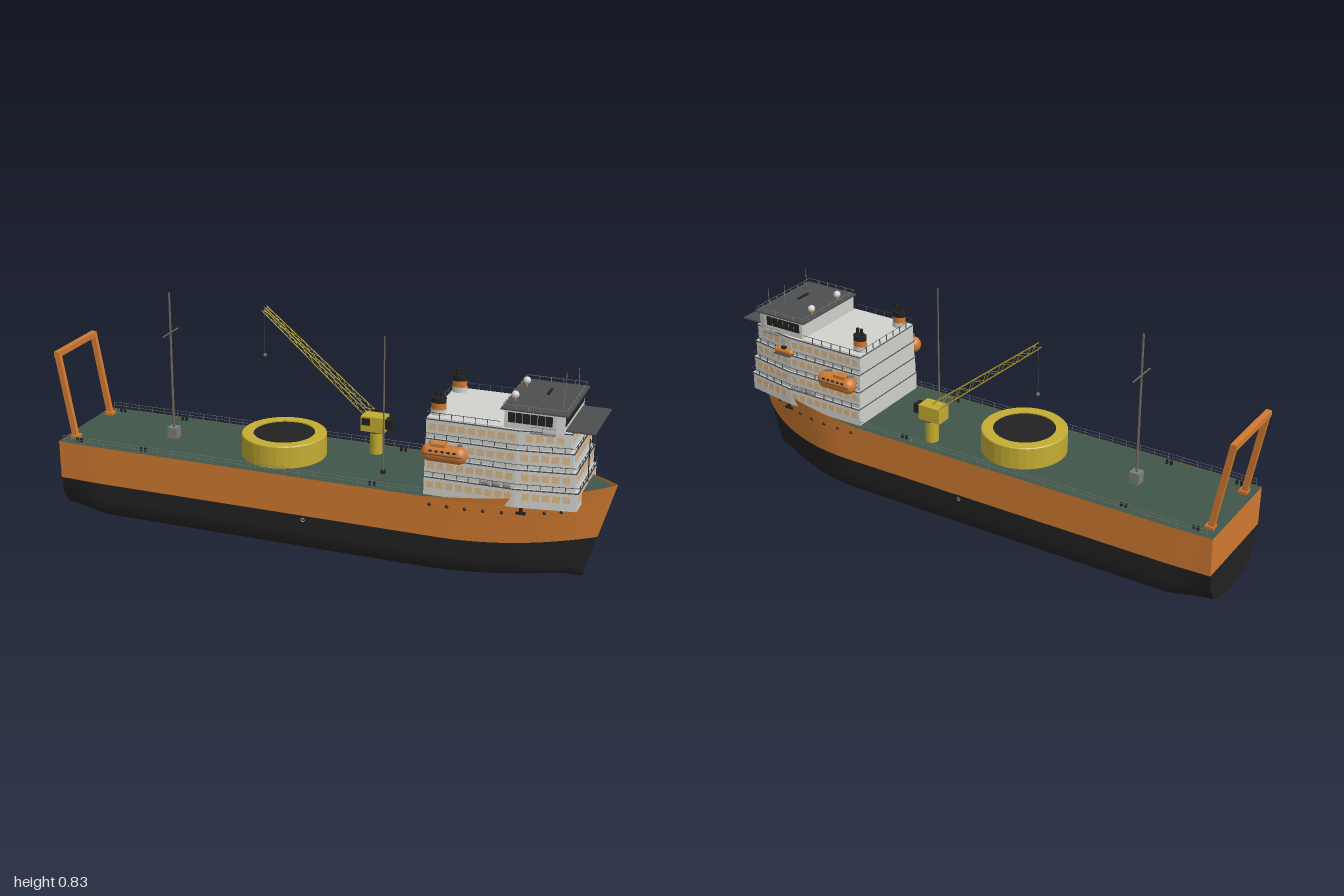
import * as THREE from 'three';

const mat = (name, color, side = THREE.FrontSide) => {
  const m = new THREE.MeshStandardMaterial({ color, side });
  m.name = name;
  return m;
};

export function createModel() {
  const D = THREE.DoubleSide;
  const orange = mat('orange', 0xd07a30, D), black = mat('black', 0x222222, D), green = mat('deckGreen', 0x40554a, D);
  const white = mat('white', 0xd2d2ce), tan = mat('windowTan', 0xdcb98c), yellow = mat('yellow', 0xc4ac32);
  const grey = mat('grey', 0x7c7e7e), dark = mat('darkGrey', 0x4c4e50), steel = mat('mastBrown', 0x6e6858);
  const ship = new THREE.Group();
  ship.name = 'ship';

  // ---- helpers
  const add = (name, geo, m, x = 0, y = 0, z = 0, parent = ship) => {
    const mesh = new THREE.Mesh(geo, m);
    mesh.name = name;
    mesh.position.set(x, y, z);
    parent.add(mesh);
    return mesh;
  };
  const box = (name, m, w, h, d, x, y, z, p) => add(name, new THREE.BoxGeometry(w, h, d), m, x, y, z, p);
  const cyl = (name, m, r, h, x, y, z, n = 16, r2 = r) => add(name, new THREE.CylinderGeometry(r2, r, h, n), m, x, y + h / 2, z);
  const rod = (name, m, a, b, r, n = 6) => {
    const A = new THREE.Vector3(...a), B = new THREE.Vector3(...b), d = B.clone().sub(A);
    const mesh = add(name, new THREE.CylinderGeometry(r, r, d.length(), n), m);
    mesh.position.copy(A).add(B).multiplyScalar(0.5);
    mesh.quaternion.setFromUnitVectors(new THREE.Vector3(0, 1, 0), d.normalize());
    return mesh;
  };
  // surface through rows of points
  const surface = (name, rows, m) => {
    const n = rows[0].length, idx = [];
    for (let i = 0; i < rows.length - 1; i++)
      for (let j = 0; j < n - 1; j++) {
        const a = i * n + j, b = a + n;
        idx.push(a, b, a + 1, b, b + 1, a + 1);
      }
    const g = new THREE.BufferGeometry();
    g.setAttribute('position', new THREE.Float32BufferAttribute(rows.flat(2), 3));
    g.setIndex(idx);
    g.computeVertexNormals();
    return add(name, g, m);
  };

  // ---- hull: half-beam by height, narrowing to a raked stem
  const ys = [0, 0.02, 0.04, 0.09, 0.15, 0.22, 0.29, 0.345];
  const beam = [0, 0.16, 0.188, 0.191, 0.192, 0.193, 0.194, 0.197];
  const stern = [0, 0.1, 0.145, 0.175, 0.186, 0.188, 0.189, 0.19];
  const lerpTable = (tab, y) => {
    let i = 0;
    while (i < ys.length - 2 && y > ys[i + 1]) i++;
    return THREE.MathUtils.lerp(tab[i], tab[i + 1], (y - ys[i]) / (ys[i + 1] - ys[i]));
  };
  const stem = y => 0.9 + 0.29 * y;
  const half = (x, y) => {
    const s = THREE.MathUtils.clamp((x - stem(y) + 0.5) / 0.5, 0, 1);
    const k = THREE.MathUtils.smoothstep(x, -0.97, -0.8);
    return THREE.MathUtils.lerp(lerpTable(stern, y), lerpTable(beam, y), k) * (1 - s ** (1.8 + 2 * y));
  };
  const N = 60;
  const at = (t, y, side) => {
    const x = -0.97 + t * (stem(y) + 0.97);
    return [x, y, side * half(x, y)];
  };
  const band = (name, levels, m) => {
    for (const side of [1, -1])
      surface(name, levels.map(y => Array.from({ length: N + 1 }, (_, i) => at(i / N, y, side))), m);
    surface(name + 'Transom', levels.map(y => [at(0, y, -1), at(0, y, 1)]), m);
  };
  band('lowerHull', ys.slice(0, 5), black);
  band('upperHull', ys.slice(4, 7), orange);
  const deckRows = (x0, x1, y, n) => Array.from({ length: n + 1 }, (_, i) => {
    const x = x0 + (x1 - x0) * i / n;
    return [[x, y, -half(x, y)], [x, y, half(x, y)]];
  });
  surface('mainDeck', deckRows(-0.97, stem(0.289), 0.289, N), green);
  surface('bowDeck', deckRows(0.9, stem(0.333), 0.333, 12), green);
  // raised bulwarks amidships and at the bow
  const bulwark = (x0, x1, h0, h1) => {
    for (const side of [1, -1])
      surface('bulwark', [0, 1].map(r => Array.from({ length: 17 }, (_, i) => {
        const f = i / 16, y = r ? h0 + (h1 - h0) * f : 0.29;
        const x = x0 + (Math.min(x1, stem(y)) - x0) * f;
        return [x, y, side * half(x, y)];
      })), orange);
  };
  bulwark(0.4, 0.7, 0.291, 0.322);
  bulwark(0.895, 1, 0.336, 0.345);
  surface('bowBulkhead', [0.29, 0.336].map(y => [[0.895, y, -half(0.895, y)], [0.895, y, half(0.895, y)]]), orange);

  // ---- hull details on both sides
  for (const s of [1, -1]) {
    for (const x of [0.42, 0.48, 0.54, 0.6, 0.66, 0.79, 0.84])
      add('porthole', new THREE.SphereGeometry(0.006, 8, 6), black, x, 0.265, s * half(x, 0.265));
    const az = s * (half(0.72, 0.27) + 0.004);
    box('anchorShank', black, 0.01, 0.03, 0.008, 0.72, 0.278, az);
    box('anchorFlukes', black, 0.032, 0.009, 0.008, 0.72, 0.267, az);
    add('loadMark', new THREE.TorusGeometry(0.006, 0.0012, 6, 16), white, -0.03, 0.135, s * 0.193);
    for (const x of [-0.9, -0.645, 0.21])
      for (const dx of [-0.008, 0.008]) cyl('bollard', black, 0.005, 0.014, x + dx, 0.289, s * 0.165, 8);
    // deck rail
    for (let x = -0.95; x < 0.39; x += 0.0532) rod('railPost', grey, [x, 0.289, s * 0.187], [x, 0.315, s * 0.187], 0.001, 4);
    for (const y of [0.303, 0.315]) rod('deckRail', grey, [-0.95, y, s * 0.187], [0.39, y, s * 0.187], 0.0008, 4);
  }

  // ---- accommodation block
  const block = (name, plan, y, h, m) => {
    const g = new THREE.ExtrudeGeometry(new THREE.Shape(plan.map(p => new THREE.Vector2(p[0], -p[1]))), { depth: h, bevelEnabled: false });
    return add(name, g.rotateX(-Math.PI / 2), m, 0, y, 0);
  };
  const plan = (x0, xm, xf, w, wf) => [[x0, w], [xm, w], [xf, wf], [xf, -wf], [xm, -w], [x0, -w]];
  // evenly spaced plates along one wall
  const plates = (name, m, a, b, y, w, h, pitch) => {
    const dx = b[0] - a[0], dz = b[1] - a[1], L = Math.hypot(dx, dz), n = Math.floor((L - 0.008) / pitch);
    for (let i = 0; i < n; i++) {
      const f = 0.5 + (i - (n - 1) / 2) * pitch / L;
      box(name, m, w, h, 0.003, a[0] + dx * f, y, a[1] + dz * f).rotation.y = -Math.atan2(dz, dx);
    }
  };
  const railing = (pts, y, h, m = dark) => {
    for (let i = 0; i < pts.length - 1; i++) {
      const [a, b] = [pts[i], pts[i + 1]];
      rod('rail', m, [a[0], y + h, a[1]], [b[0], y + h, b[1]], 0.001, 4);
      plates('railPost', m, a, b, y + h / 2, 0.002, h, 0.04);
    }
  };
  for (let i = 0; i < 4; i++) {
    const y = 0.29 + i * 0.0655, w = 0.176 - i * 0.005, xf = 0.898 - i * 0.01;
    const p = plan(0.393, 0.7, xf, w, 0.142 - i * 0.003);
    block('accommodationTier', p, y, 0.0655, white);
    for (let e = 0; e < 5; e++) plates('window', tan, p[e], p[e + 1], y + 0.039, 0.024, 0.024, 0.033);
    const ledge = plan(0.391, 0.7, xf + 0.004, w + 0.003, 0.145 - i * 0.003);
    block('deckLedge', ledge, y + 0.062, 0.003, dark);
    if (i < 3) railing(ledge, y + 0.065, 0.018);
    else railing([[0.64, w], ...[[0.395, w], [0.395, -w]], [0.64, -w]], y + 0.065, 0.022);
  }
  block('aftRoof', plan(0.395, 0.6, 0.645, 0.158, 0.158), 0.552, 0.003, white);

  // bridge
  const bp = plan(0.65, 0.82, 0.845, 0.152, 0.145);
  block('bridge', bp, 0.55, 0.062, white);
  for (let e = 0; e < 5; e++) plates('bridgeWindow', black, bp[e], bp[e + 1], 0.589, 0.0225, 0.034, 0.0245);
  box('bridgeRoof', dark, 0.22, 0.005, 0.312, 0.748, 0.6145, 0);
  box('forwardCanopy', dark, 0.11, 0.005, 0.25, 0.885, 0.555, 0);
  railing([[0.645, 0.153], [0.85, 0.153], [0.85, -0.153], [0.645, -0.153], [0.645, 0.153]], 0.617, 0.014, grey);
  for (const s of [1, -1]) {
    box('bridgeWing', grey, 0.08, 0.003, 0.02, 0.78, 0.548, s * 0.157);
    railing([[0.74, s * 0.166], [0.82, s * 0.166]], 0.548, 0.022, grey);
    rod('whipAerial', grey, [0.83, 0.615, s * 0.108], [0.83, 0.69, s * 0.108], 0.0012);
    // radome, funnel, lifeboat and raft canister
    cyl('radomeStand', orange, 0.004, 0.016, 0.664, 0.615, s * 0.075, 8);
    add('radome', new THREE.SphereGeometry(0.013, 16, 12), white, 0.664, 0.639, s * 0.075);
    const fz = s * 0.118;
    [['funnelBase', white, 0.552, 0.022, 0.026], ['funnelBand', orange, 0.574, 0.022, 0.025], ['funnelTop', black, 0.596, 0.018, 0.025]]
      .forEach(([n, m, y, h, r]) => { cyl(n, m, r, h, 0.422, y, fz, 20).scale.z = 0.75; });
    for (const dx of [-0.008, 0.008]) cyl('exhaustPipe', black, 0.006, 0.025, 0.422 + dx, 0.612, fz, 10);
    const boat = new THREE.Group();
    boat.name = 'lifeboat';
    boat.position.set(0.468, 0.452, s * 0.199);
    ship.add(boat);
    const hullGeo = new THREE.CapsuleGeometry(0.027, 0.1, 8, 18).rotateZ(Math.PI / 2);
    add('lifeboatHull', hullGeo, orange, 0, 0, 0, boat).scale.y = 1.1;
    box('lifeboatFender', dark, 0.13, 0.003, 0.056, 0, 0.002, 0, boat);
    box('lifeboatCabin', orange, 0.05, 0.02, 0.03, -0.02, 0.025, 0, boat);
    for (let i = -2; i < 3; i++) box('lifeboatWindow', black, 0.01, 0.006, 0.003, i * 0.02, 0.014, s * 0.0245, boat);
    for (const x of [0.42, 0.515]) {
      rod('davitArm', grey, [x, 0.47, s * 0.155], [x, 0.488, s * 0.2], 0.004);
      rod('davitFall', grey, [x, 0.488, s * 0.2], [x, 0.465, s * 0.2], 0.003);
    }
    for (const x of [0.605, 0.64, 0.675]) {
      const c = add('raftCanister', new THREE.CapsuleGeometry(0.0075, 0.014, 4, 10), grey, x, 0.363, s * 0.182);
      c.rotation.z = Math.PI / 2;
    }
  }
  rod('radarMast', steel, [0.76, 0.615, 0], [0.76, 0.635, 0], 0.004);
  box('radarScanner', black, 0.008, 0.005, 0.056, 0.76, 0.637, 0);
  rod('bridgeAerial', grey, [0.8, 0.615, -0.055], [0.8, 0.69, -0.055], 0.0012);
  rod('jackstaff', black, [0.9, 0.34, 0], [0.9, 0.49, 0], 0.0018);
  // rescue boat on the right side
  box('rescueCradle', dark, 0.07, 0.004, 0.03, 0.72, 0.488, -0.172);
  add('rescueBoat', new THREE.CapsuleGeometry(0.011, 0.06, 6, 12).rotateZ(Math.PI / 2), orange, 0.72, 0.499, -0.173);
  box('rescueConsole', black, 0.018, 0.01, 0.012, 0.72, 0.511, -0.173);

  // ---- cable carousel
  const ring = [[0.108, 0], [0.149, 0], [0.149, 0.077], [0.146, 0.08], [0.108, 0.08], [0.108, 0]].map(p => new THREE.Vector2(...p));
  const lathe = new THREE.LatheGeometry(ring, 32).toNonIndexed();
  lathe.computeVertexNormals();
  add('carouselRing', lathe, yellow, -0.175, 0.289, 0);
  cyl('carouselCore', black, 0.109, 0.076, -0.175, 0.289, 0, 32);

  // ---- crane with lattice boom
  cyl('cranePedestal', yellow, 0.024, 0.085, 0.125, 0.289, -0.12, 16);
  cyl('slewRing', dark, 0.028, 0.006, 0.125, 0.368, -0.12, 16);
  box('craneHouse', yellow, 0.085, 0.055, 0.058, 0.118, 0.401, -0.12);
  box('craneWinch', black, 0.028, 0.034, 0.035, 0.174, 0.403, -0.12);
  box('craneCab', black, 0.03, 0.025, 0.004, 0.095, 0.41, -0.09);
  const boomPoint = (f, u, v) => {
    const k = 1 - 0.4 * f;
    return [0.1 - 0.405 * f + u * 0.009 * k, 0.43 + 0.335 * f + u * 0.011 * k, -0.125 - 0.014 * f + v * 0.016 * k];
  };
  const corners = [[1, 1], [1, -1], [-1, -1], [-1, 1]], bays = 14;
  corners.forEach(([u, v], c) => {
    const [u2, v2] = corners[(c + 1) % 4];
    rod('boomChord', yellow, boomPoint(0, u, v), boomPoint(1, u, v), 0.0018, 5);
    for (let i = 0; i < bays; i++) {
      const a = i / bays, b = (i + 1) / bays;
      rod('boomLacing', yellow, boomPoint(i % 2 ? b : a, u, v), boomPoint(i % 2 ? a : b, u2, v2), 0.001, 4);
    }
  });
  rod('hoistCable', dark, [-0.305, 0.765, -0.139], [-0.305, 0.595, -0.139], 0.0009, 4);
  add('hook', new THREE.SphereGeometry(0.007, 8, 6), steel, -0.305, 0.592, -0.139);

  // ---- deck masts
  box('mastPedestal', grey, 0.036, 0.04, 0.036, -0.605, 0.309, 0);
  cyl('mainMast', steel, 0.0045, 0.5, -0.605, 0.328, 0, 10, 0.0035);
  rod('mastYard', steel, [-0.605, 0.682, -0.06], [-0.605, 0.682, 0.06], 0.0028);
  cyl('foreMastBase', black, 0.009, 0.012, 0.21, 0.289, 0.053, 10);
  cyl('foreMast', steel, 0.0035, 0.485, 0.21, 0.29, 0.053, 8, 0.0025);

  // ---- stern gantry
  const lean = Math.atan2(0.055, 0.315);
  for (const s of [1, -1]) {
    box('gantryLeg', orange, 0.02, 0.32, 0.017, -0.962, 0.444, s * 0.128).rotation.z = lean;
    box('gantryFoot', orange, 0.03, 0.012, 0.03, -0.934, 0.294, s * 0.128);
  }
  box('gantryBeam', orange, 0.02, 0.02, 0.273, -0.99, 0.596, 0);
  return ship;
}
